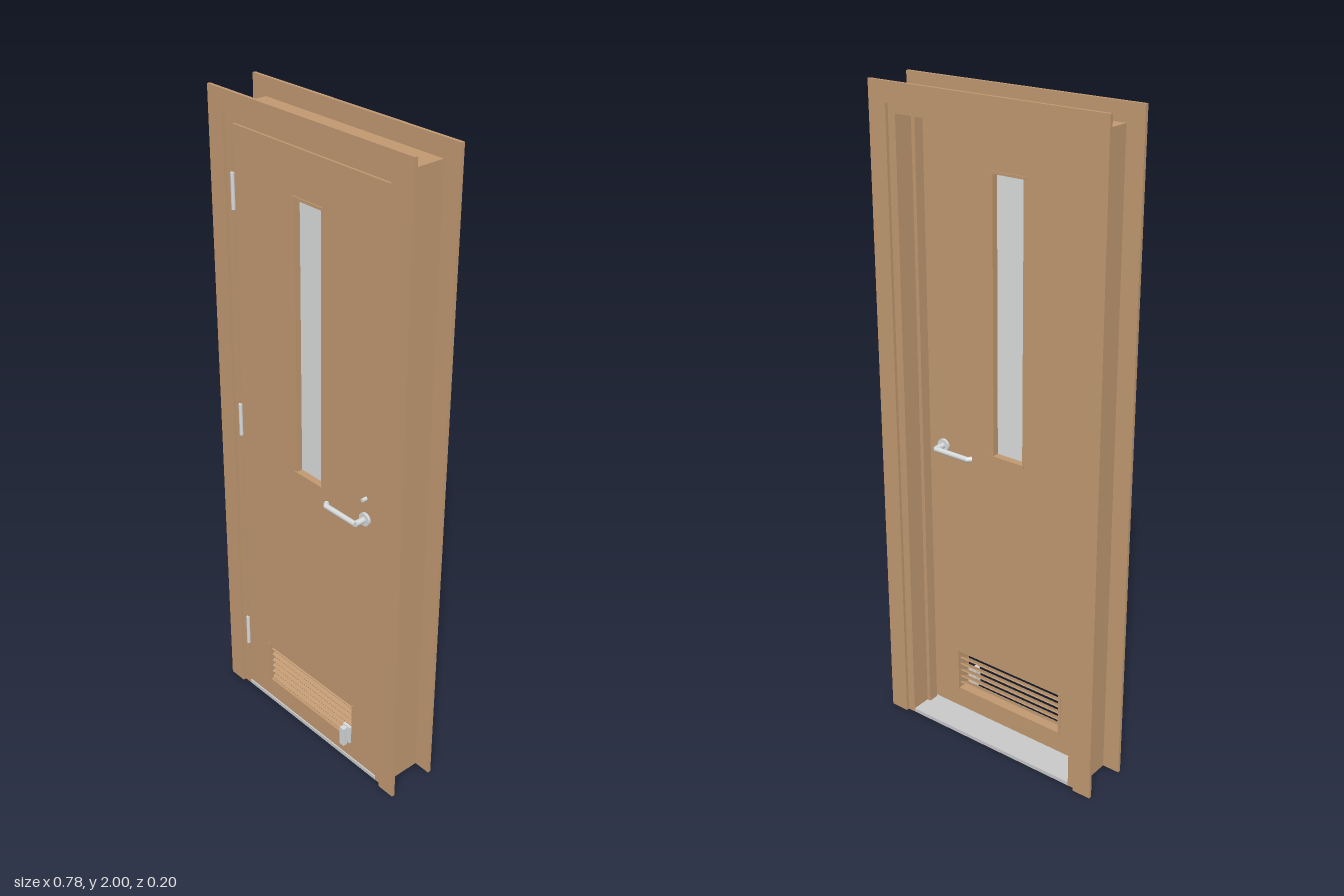
import * as THREE from 'three';

export function createModel() {
  const model = new THREE.Group();
  model.name = 'door';
  const material = (name, color) => {
    const m = new THREE.MeshStandardMaterial({ color });
    m.name = name;
    return m;
  };
  const wood = material('wood', 0xc09871);
  const metal = material('brushed metal', 0xd6d9da);
  const glass = material('glass', 0xdbdddd);
  const sillGrey = material('threshold grey', 0xc8c8c8);

  const add = (name, geometry, mat, parent = model) => {
    const mesh = new THREE.Mesh(geometry, mat);
    mesh.name = name;
    parent.add(mesh);
    return mesh;
  };
  // Box given by its limits on each axis
  const box = (name, mat, x0, x1, y0, y1, z0, z1, parent = model) => {
    const mesh = add(name, new THREE.BoxGeometry(x1 - x0, y1 - y0, z1 - z0), mat, parent);
    mesh.position.set((x0 + x1) / 2, (y0 + y1) / 2, (z0 + z1) / 2);
    return mesh;
  };
  const outline = (pts, Type = THREE.Shape) => new Type(pts.map(([x, y]) => new THREE.Vector2(x, y)));
  const slab = (shape, z0, z1) =>
    new THREE.ExtrudeGeometry(shape, { depth: z1 - z0, bevelEnabled: false }).translate(0, 0, z0);

  // Mitred casing on both faces of the wall
  const W = 0.388, w = 0.328, H = 2, h = 1.943;
  for (const [side, z0, z1] of [['front', 0.051, 0.061], ['back', -0.103, -0.093]]) {
    add(side + 'CasingLeft', slab(outline([[w, 0], [W, 0], [W, H], [w, h]]), z0, z1), wood);
    add(side + 'CasingRight', slab(outline([[-W, 0], [-w, 0], [-w, h], [-W, H]]), z0, z1), wood);
    add(side + 'CasingHead', slab(outline([[-w, h], [w, h], [W, H], [-W, H]]), z0, z1), wood);
  }

  // Jambs and the stops the leaf closes against
  for (const s of [1, -1]) {
    const side = s > 0 ? 'Left' : 'Right';
    const span = (a, b) => (s > 0 ? [a, b] : [-b, -a]);
    box('jamb' + side, wood, ...span(0.303, 0.333), 0, 1.947, -0.093, 0.051);
    box('stop' + side, wood, ...span(0.291, 0.303), 0.012, 1.915, -0.03, 0.003);
  }
  box('jambHead', wood, -0.303, 0.303, 1.915, 1.947, -0.093, 0.051);
  box('stopHead', wood, -0.291, 0.291, 1.903, 1.915, -0.03, 0.003);
  box('threshold', sillGrey, -0.303, 0.303, 0, 0.012, -0.093, 0.051);

  // Door leaf with window and vent openings
  const rect = (x, y0, y1, Type) => outline([[-x, y0], [x, y0], [x, y1], [-x, y1]], Type);
  const leaf = rect(0.3, 0.017, 1.911);
  leaf.holes.push(rect(0.052, 0.948, 1.773, THREE.Path), rect(0.195, 0.085, 0.222, THREE.Path));
  add('doorLeaf', slab(leaf, 0.005, 0.05), wood);
  box('windowPane', glass, -0.052, 0.052, 0.948, 1.773, 0.025, 0.031);

  // Thin trims around the openings, on both faces
  for (const [z0, z1] of [[0.05, 0.053], [0.002, 0.005]]) {
    for (const y of [0.944, 1.777]) box('windowTrim', wood, -0.058, 0.058, y - 0.004, y + 0.004, z0, z1);
    for (const x of [-0.199, 0.199]) box('ventTrim', wood, x - 0.004, x + 0.004, 0.076, 0.231, z0, z1);
  }

  // Louvre slats, low at the front and high at the back
  for (let i = 0; i < 6; i++) {
    const slat = add('ventSlat', new THREE.BoxGeometry(0.39, 0.004, 0.034), wood);
    slat.position.set(0, 0.096 + i * 0.023, 0.0275);
    slat.rotation.x = 0.5;
  }

  // Hinge knuckles
  for (const y of [0.225, 1.015, 1.725]) {
    const hinge = add('hinge', new THREE.CylinderGeometry(0.006, 0.006, 0.105, 16), metal);
    hinge.position.set(-0.303, y, 0.053);
  }

  // Lever handles, built outward along +z and turned for the back
  const handle = (name, z, flip) => {
    const group = new THREE.Group();
    group.name = name;
    const disc = (part, r, z0, z1) => {
      const mesh = add(part, new THREE.CylinderGeometry(r, r, z1 - z0, 24).rotateX(Math.PI / 2), metal, group);
      mesh.position.z = (z0 + z1) / 2;
    };
    disc('rose', 0.02, 0, 0.008);
    disc('stem', 0.009, 0.008, 0.04);
    const rod = (part, a, b) => {
      const d = b.clone().sub(a);
      const mesh = add(part, new THREE.CylinderGeometry(0.008, 0.008, d.length(), 20), metal, group);
      mesh.position.copy(a).addScaledVector(d, 0.5);
      mesh.quaternion.setFromUnitVectors(new THREE.Vector3(0, 1, 0), d.normalize());
    };
    const bend = new THREE.Vector3(-0.119, 0, 0.04);
    rod('lever', new THREE.Vector3(0, 0, 0.04), bend);
    rod('leverTip', bend, new THREE.Vector3(-0.129, 0, 0.03));
    add('bendJoint', new THREE.SphereGeometry(0.008, 20, 12), metal, group).position.copy(bend);
    group.position.set(0.238, 0.932, z);
    if (flip) group.rotation.set(Math.PI, 0, 0);
    model.add(group);
  };
  handle('frontHandle', 0.05, false);
  handle('backHandle', 0.005, true);

  // Lock cylinder above the front lever
  const lock = add('lockCylinder', new THREE.CylinderGeometry(0.006, 0.006, 0.015, 20).rotateX(Math.PI / 2), metal);
  lock.position.set(0.238, 0.998, 0.0575);

  // Door holder at the foot of the leaf
  box('holderPlate', metal, 0.164, 0.195, 0.08, 0.142, 0.05, 0.06);
  box('holderArm', metal, 0.167, 0.185, 0.072, 0.138, 0.06, 0.076);

  return model;
}
